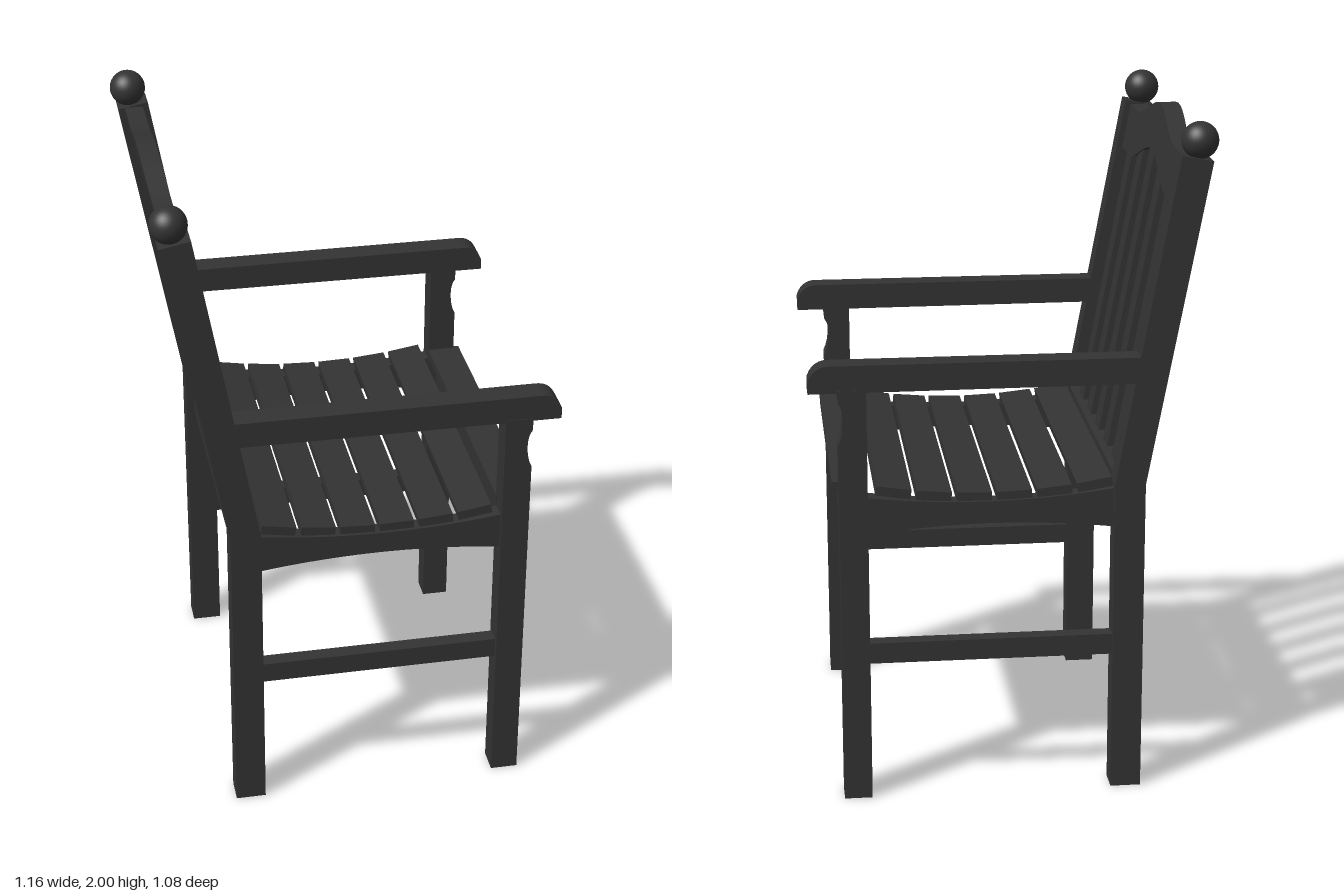
import * as THREE from 'three';

const LEAN = -0.182; // x shift of the back per unit of height
const HINGE = 0.95; // height where the back starts to lean

export function createModel() {
  const group = new THREE.Group();
  const wood = new THREE.MeshStandardMaterial({ color: 0x333333 });

  const add = (name, geometry) => {
    const mesh = new THREE.Mesh(geometry, wood);
    mesh.name = name;
    group.add(mesh);
    return mesh;
  };
  const box = (name, x0, x1, y0, y1, z0, z1) =>
    add(name, new THREE.BoxGeometry(x1 - x0, y1 - y0, z1 - z0)
      .translate((x0 + x1) / 2, (y0 + y1) / 2, (z0 + z1) / 2));
  const extrude = (shape, depth) =>
    new THREE.ExtrudeGeometry(shape, { depth, bevelEnabled: false, curveSegments: 10 });
  // Side profile in x-y, extruded between two z values
  const profile = (name, shape, z0, z1) => add(name, extrude(shape, z1 - z0).translate(0, 0, z0));
  // Tilt upright geometry along with the back posts
  const lean = (geometry) => geometry.applyMatrix4(new THREE.Matrix4().set(
    1, LEAN, 0, -LEAN * HINGE,
    0, 1, 0, 0,
    0, 0, 1, 0,
    0, 0, 0, 1));

  // Back post, bent at seat height
  const postShape = new THREE.Shape([
    [-0.39, 0], [-0.3, 0], [-0.3, 0.95], [-0.475, 1.91], [-0.565, 1.893], [-0.39, 0.95],
  ].map(([x, y]) => new THREE.Vector2(x, y)));

  // Front leg with a scooped neck under the arm
  const legShape = new THREE.Shape();
  legShape.moveTo(0.415, 0);
  legShape.lineTo(0.497, 0);
  legShape.lineTo(0.497, 1.1);
  legShape.bezierCurveTo(0.48, 1.13, 0.476, 1.2, 0.495, 1.22);
  legShape.lineTo(0.497, 1.26);
  legShape.lineTo(0.415, 1.26);

  // Arm with a rounded nose
  const armShape = new THREE.Shape();
  armShape.moveTo(-0.39, 1.255);
  armShape.lineTo(0.58, 1.252);
  armShape.lineTo(0.58, 1.285);
  armShape.bezierCurveTo(0.57, 1.315, 0.55, 1.332, 0.52, 1.332);
  armShape.lineTo(-0.39, 1.332);

  // Side seat rail, dished on top and arched below
  const railShape = new THREE.Shape();
  railShape.moveTo(-0.31, 0.82);
  railShape.quadraticCurveTo(0.06, 0.87, 0.425, 0.82);
  railShape.lineTo(0.425, 0.935);
  railShape.quadraticCurveTo(0.06, 0.885, -0.31, 0.94);

  for (const side of [1, -1]) {
    const span = (a, b) => (side > 0 ? [a, b] : [-b, -a]);
    profile('backPost', postShape, ...span(0.45, 0.525));
    profile('frontLeg', legShape, ...span(0.45, 0.526));
    profile('armrest', armShape, ...span(0.45, 0.524));
    profile('sideSeatRail', railShape, ...span(0.46, 0.51));
    box('sideStretcher', -0.31, 0.425, 0.422, 0.485, ...span(0.465, 0.51));
    add('finial', new THREE.SphereGeometry(0.053, 32, 20)).position.set(-0.531, 1.947, side * 0.487);
  }

  // Seat frame
  box('frontApron', 0.44, 0.49, 0.82, 0.945, -0.455, 0.455);
  box('backSeatRail', -0.365, -0.305, 0.82, 0.97, -0.455, 0.455);

  // Dished seat slats, each tilted to follow the side rails
  for (let i = 0; i < 6; i++) {
    const x = -0.245 + i * 0.117;
    const slat = add('seatSlat', new THREE.BoxGeometry(0.102, 0.028, 1));
    slat.position.set(x, 0.922 + 0.28 * (x - 0.06) ** 2, 0);
    slat.rotation.z = Math.atan(0.56 * (x - 0.06));
  }
  box('frontSeatSlat', 0.413, 0.515, 0.942, 0.97, -0.46, 0.46);

  // Crested top rail of the back
  const rise = (z) => (Math.abs(z) < 0.32 ? 0.0375 * (1 + Math.cos(Math.PI * z / 0.32)) : 0);
  const edge = Array.from({ length: 41 }, (_, i) => -0.46 + i * 0.023);
  const crest = new THREE.Shape([
    ...edge.map((z) => new THREE.Vector2(z, 1.76 + rise(z))),
    ...edge.reverse().map((z) => new THREE.Vector2(z, 1.897 + rise(z))),
  ]);
  add('topRail', lean(extrude(crest, 0.055).rotateY(Math.PI / 2).translate(-0.373, 0, 0)));

  // Upright back slats
  for (let i = -2; i <= 2; i++) {
    const z = i * 0.167;
    const top = 1.82 + rise(z);
    lean(box('backSlat', -0.348, -0.322, 0.94, top, z - 0.04, z + 0.04).geometry);
  }

  return group;
}
